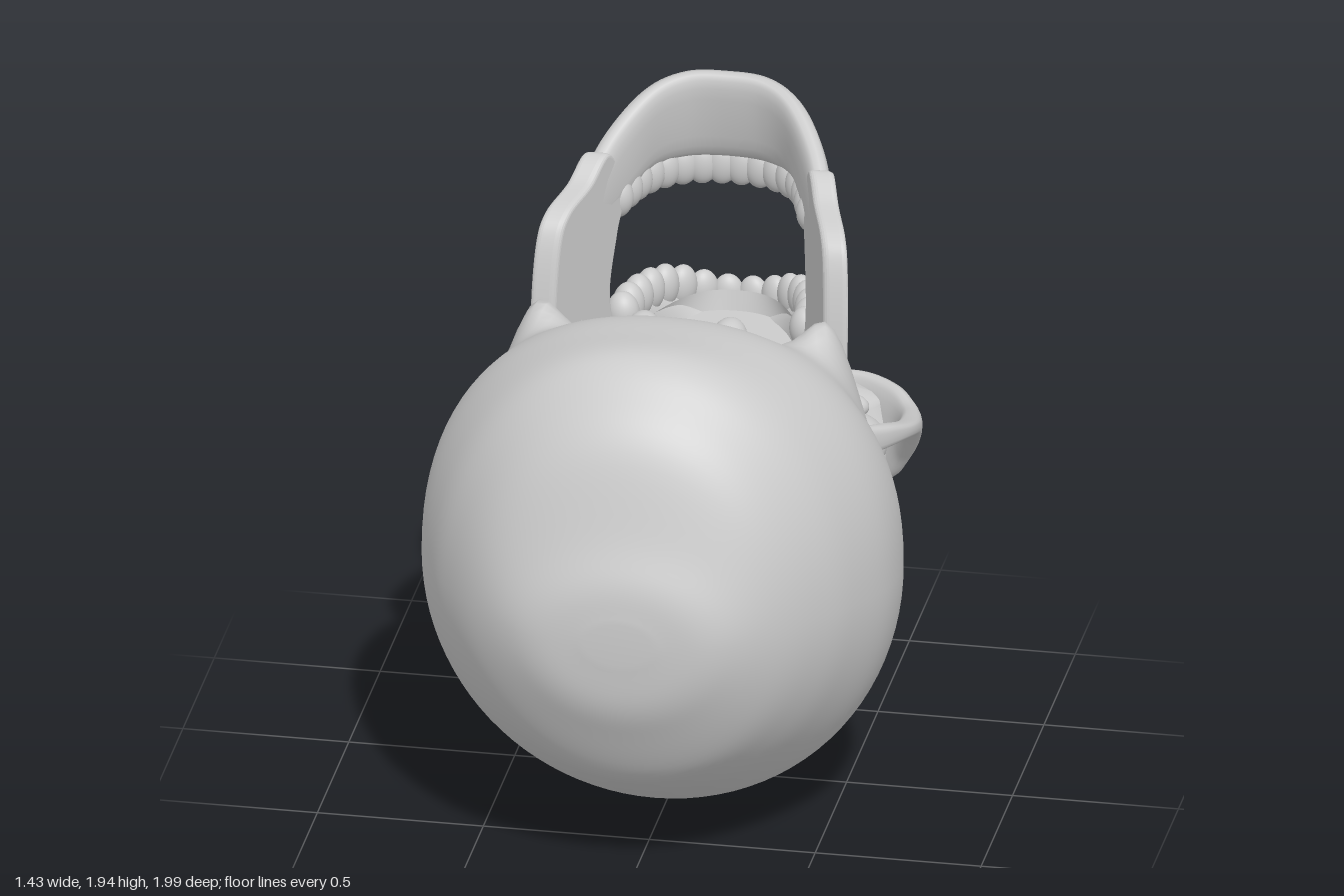
import * as THREE from 'three';

const V = (x, y, z) => new THREE.Vector3(x, y, z);
const bone = new THREE.MeshStandardMaterial({ color: 0xcccccc, side: THREE.DoubleSide });
const curve = pts => new THREE.CatmullRomCurve3(pts.map(p => V(...p)), false, 'catmullrom', 0.5);

function add(parent, name, geometry) {
  const mesh = new THREE.Mesh(geometry, bone);
  mesh.name = name;
  parent.add(mesh);
  return mesh;
}

function build(points, index) {
  const g = new THREE.BufferGeometry().setFromPoints(points);
  g.setIndex(index);
  g.computeVertexNormals();
  return g;
}

// Closed skin over a list of rings, wound outward
function loft(rings) {
  const n = rings[0].length, pts = rings.flat(), idx = [];
  const centre = r => r.reduce((a, p) => a.add(p), V(0, 0, 0)).divideScalar(n);
  for (let i = 0; i < rings.length - 1; i++)
    for (let j = 0; j < n; j++) {
      const a = i * n + j, b = i * n + (j + 1) % n;
      idx.push(a, b, a + n, b, b + n, a + n);
    }
  const last = (rings.length - 1) * n, c = pts.length;
  pts.push(centre(rings[0]), centre(rings[rings.length - 1]));
  for (let j = 0; j < n; j++) {
    const k = (j + 1) % n;
    idx.push(c, k, j, c + 1, last + j, last + k);
  }
  let volume = 0;
  for (let i = 0; i < idx.length; i += 3)
    volume += pts[idx[i]].dot(V(0, 0, 0).crossVectors(pts[idx[i + 1]], pts[idx[i + 2]]));
  return build(pts, volume < 0 ? idx.reverse() : idx);
}

// Rounded band between two edge curves, half as thick at its ends
function band(edgeA, edgeB, thick, steps = 60) {
  const A = curve(edgeA), B = curve(edgeB), rings = [];
  for (let i = 0; i <= steps; i++) {
    const t = i / steps, a = A.getPoint(t), b = B.getPoint(t);
    const d = A.getTangent(t).add(B.getTangent(t));
    const normal = V(d.z, 0, -d.x).normalize();
    const half = thick * (0.5 + 0.5 * Math.sqrt(Math.abs(Math.sin(Math.PI * t))));
    rings.push(Array.from({ length: 20 }, (_, j) => {
      const q = j / 20 * Math.PI * 2, c = Math.cos(q), s = Math.sin(q);
      const k = 0.5 + 0.5 * Math.sign(c) * Math.pow(Math.abs(c), 0.7);
      return a.clone().lerp(b, k).addScaledVector(normal, half * Math.sign(s) * Math.pow(Math.abs(s), 0.7));
    }));
  }
  return loft(rings);
}

// Left half of a path, continued through its last point to the right
const bothSides = half => [...half, ...half.slice(0, -1).reverse().map(([x, y, z]) => [-x, y, z])];

function blob(parent, name, pos, size, tilt = 0) {
  const m = add(parent, name, new THREE.SphereGeometry(1, 28, 20));
  m.position.set(...pos);
  m.scale.set(...size);
  m.rotation.x = tilt;
  return m;
}

// Braincase: z, lowest y, highest y, half width, y of the widest point
function cranium() {
  const rows = [
    [0.998, 0.8, 0.93, 0.1, 0.86], [0.98, 0.65, 1.04, 0.25, 0.86], [0.93, 0.53, 1.17, 0.36, 0.87],
    [0.84, 0.37, 1.42, 0.47, 0.88], [0.73, 0.28, 1.55, 0.56, 0.88], [0.6, 0.2, 1.63, 0.635, 0.87],
    [0.4, 0.09, 1.61, 0.705, 0.84], [0.2, 0.02, 1.57, 0.71, 0.82], [0.05, 0, 1.48, 0.66, 0.78],
    [-0.1, 0.02, 1.38, 0.61, 0.72], [-0.2, 0.07, 1.25, 0.56, 0.64], [-0.3, 0.14, 1.1, 0.5, 0.54],
    [-0.36, 0.2, 0.62, 0.47, 0.45], [-0.42, 0.26, 0.5, 0.43, 0.42], [-0.47, 0.32, 0.47, 0.34, 0.41],
    [-0.51, 0.39, 0.44, 0.12, 0.42]];
  const A = curve(rows.map(r => [r[0], r[1], r[2]])), B = curve(rows.map(r => [r[3], r[4], 0]));
  const rings = [];
  for (let i = 0; i <= 90; i++) {
    const a = A.getPoint(i / 90), b = B.getPoint(i / 90);
    const square = 2 / (2 + 0.3 * Math.exp(-(((a.x - 0.25) / 0.3) ** 2)));
    rings.push(Array.from({ length: 96 }, (_, j) => {
      const q = j / 96 * Math.PI * 2, c = Math.cos(q), s = Math.sin(q), e = s > 0 ? square : 1;
      const x = b.x * Math.sign(c) * Math.pow(Math.abs(c), e);
      let y = b.y + (s > 0 ? a.z - b.y : b.y - a.y) * Math.sign(s) * Math.pow(Math.abs(s), e);
      // Mastoid swelling behind each jaw joint
      if (s > 0) y += 0.32 * s * Math.exp(-(((Math.abs(x) - 0.46) / 0.11) ** 2) - ((a.x + 0.05) / 0.12) ** 2);
      return V(x, y, a.x);
    }));
  }
  return loft(rings);
}

// Face: y, half width, z at the middle, z at the side, fall-off power
function face() {
  const rows = [
    [0.34, 0.36, -0.44, -0.37, 2], [0.42, 0.46, -0.525, -0.41, 2], [0.5, 0.49, -0.585, -0.43, 1.7],
    [0.58, 0.5, -0.69, -0.44, 1.3], [0.7, 0.51, -0.72, -0.46, 1.2], [0.8, 0.54, -0.74, -0.51, 1.3],
    [0.9, 0.55, -0.82, -0.55, 1.4], [1.0, 0.5, -0.87, -0.58, 1.7], [1.06, 0.36, -0.9, -0.52, 2.2],
    [1.14, 0.29, -0.92, -0.48, 2.6]];
  const at = y => {
    let i = 0;
    while (i < rows.length - 2 && y > rows[i + 1][0]) i++;
    const t = (y - rows[i][0]) / (rows[i + 1][0] - rows[i][0]);
    return rows[i].map((v, k) => v + (rows[i + 1][k] - v) * t);
  };
  const M = 130, N = 100, S = 6, pts = [], idx = [];
  for (let i = 0; i <= N; i++) {
    const y = 0.34 + 0.8 * i / N, [, w, zf, zs, p] = at(y);
    for (let j = -S; j <= M + S; j++) {
      const skirt = Math.max(0, -j, j - M);
      const u = THREE.MathUtils.clamp(j / M * 2 - 1, -1, 1), x = u * w;
      let z = zs + (zf - zs) * (1 - Math.pow(Math.abs(u), p));
      // Eye sockets and nasal opening are pressed into the surface
      const eye = Math.hypot((Math.abs(x) - 0.285) / 0.185, (y - 0.6) / 0.165);
      const nose = Math.hypot(x / (0.07 + 0.2 * (y - 0.58)), (y - 0.735) / 0.15);
      if (eye < 1) z = Math.min(z + 0.24 * (1 - eye ** 4), Math.max(z, -0.36));
      if (nose < 1) z += 0.27 * (1 - nose ** 5);
      // Side walls fold back and inward behind the cheeks
      pts.push(V(x * (1 - 0.045 * Math.max(0, skirt - 1)), y, z + 0.036 * skirt));
    }
  }
  const n = M + 2 * S + 1;
  for (let i = 0; i < N; i++)
    for (let j = 0; j < n - 1; j++) {
      const a = i * n + j;
      idx.push(a, a + n, a + 1, a + 1, a + n, a + n + 1);
    }
  return build(pts, idx);
}

// Row of teeth spaced along an arch; molars are wider than incisors
function teeth(parent, name, half, count, height) {
  const path = curve(bothSides(half)), row = new THREE.Group();
  row.name = name;
  for (let i = 0; i < count; i++) {
    const t = (i + 0.5) / count, p = path.getPointAt(t), d = path.getTangentAt(t);
    const molar = Math.abs(t - 0.5) * 2;
    const m = blob(row, 'tooth', [p.x, p.y, p.z], [0.048, height, 0.032 + 0.02 * molar]);
    m.rotation.y = Math.atan2(-d.z, d.x);
  }
  parent.add(row);
}

// Upright plate of the lower jaw with its notch
function ramus(s) {
  const outline = [[0.13, 1.4], [0.17, 1.6], [0.23, 1.68], [0.35, 1.72], [0.46, 1.775], [0.54, 1.63], [0.49, 1.5],
    [0.44, 1.32], [0.48, 1.13], [0.45, 1.08], [0.38, 1.18], [0.31, 1.225], [0.24, 1.21], [0.19, 1.15], [0.12, 1.15]];
  const shape = new THREE.Shape();
  shape.moveTo(0.12, 1.15);
  shape.splineThru(outline.map(p => new THREE.Vector2(...p)));
  const g = new THREE.ExtrudeGeometry(shape, {
    depth: 0.04, bevelThickness: 0.018, bevelSize: 0.012, bevelOffset: -0.012, bevelSegments: 4, curveSegments: 70 });
  g.rotateY(Math.PI / 2);
  const p = g.attributes.position;
  for (let i = 0; i < p.count; i++)
    p.setX(i, p.getX(i) - 0.02 + s * (0.45 - 0.36 * (-p.getZ(i) - 0.12) + 0.03 * (p.getY(i) - 1.5)));
  g.computeVertexNormals();
  return g;
}

export function createModel() {
  const root = new THREE.Group(), skull = new THREE.Group(), jaw = new THREE.Group();
  root.name = 'skull';
  skull.name = 'upperSkull';
  jaw.name = 'lowerJaw';
  root.add(skull, jaw);

  add(skull, 'cranium', cranium());
  add(skull, 'face', face());
  blob(skull, 'skullBase', [0, 1.12, -0.25], [0.17, 0.1, 0.2], 0.5);
  add(skull, 'nasalSeptum', new THREE.BoxGeometry(0.02, 0.34, 0.3)).position.set(0, 0.9, -0.5);

  // Upper dental arch and palate
  const upper = [[0.28, 1.2, -0.5], [0.28, 1.2, -0.6], [0.25, 1.18, -0.74], [0.19, 1.14, -0.85], [0.1, 1.08, -0.91], [0, 1.06, -0.93]];
  add(skull, 'upperGum', band(bothSides(upper), bothSides(upper.map(([x, , z]) => [x * 0.92, 0.92, z * 0.92])), 0.045));
  teeth(skull, 'upperTeeth', [[0.275, 1.22, -0.5], [0.275, 1.215, -0.6], [0.245, 1.2, -0.74], [0.19, 1.17, -0.86],
    [0.105, 1.12, -0.94], [0, 1.1, -0.965]], 16, 0.068);
  const plate = new THREE.Shape();
  plate.moveTo(-0.26, 0.45);
  plate.lineTo(-0.24, 0.74);
  plate.quadraticCurveTo(-0.16, 0.9, 0, 0.91);
  plate.quadraticCurveTo(0.16, 0.9, 0.24, 0.74);
  plate.lineTo(0.26, 0.45);
  const palate = add(skull, 'palate', new THREE.ExtrudeGeometry(plate, { depth: 0.03, bevelEnabled: false }));
  palate.rotation.x = -Math.PI / 2;
  palate.position.y = 1.05;

  for (const s of [1, -1]) {
    const side = pts => pts.map(([x, y, z]) => [s * x, y, z]);
    // Cheekbone running back into the cheek arch
    add(skull, 'cheekArch', band(
      side([[0.26, 0.86, -0.62], [0.42, 0.83, -0.6], [0.53, 0.77, -0.495], [0.595, 0.87, -0.43], [0.635, 1.0, -0.31], [0.64, 1.06, -0.18], [0.61, 1.08, -0.07], [0.55, 1.08, 0.03]]),
      side([[0.26, 1.03, -0.64], [0.42, 1.05, -0.625], [0.54, 1.05, -0.55], [0.605, 1.04, -0.45], [0.635, 1.07, -0.31], [0.64, 1.11, -0.18], [0.61, 1.15, -0.07], [0.55, 1.18, 0.03]]), 0.034, 60));
    blob(skull, 'occipitalCondyle', [s * 0.13, 1.37, -0.06], [0.06, 0.06, 0.1], 0.4);
    blob(skull, 'jawSocket', [s * 0.49, 1.08, -0.06], [0.12, 0.09, 0.13]);
    const styloid = add(skull, 'styloid', new THREE.ConeGeometry(0.025, 0.2, 12));
    styloid.position.set(s * 0.34, 1.25, -0.19);
    styloid.rotation.x = -0.3;
    blob(skull, 'pterygoidPlate', [s * 0.18, 1.04, -0.42], [0.025, 0.18, 0.1]);
    blob(skull, 'pterygoidWing', [s * 0.24, 1.02, -0.38], [0.02, 0.16, 0.09]);

    add(jaw, 'ramus', ramus(s));
    blob(jaw, 'jawCondyle', [s * 0.455, 1.16, -0.15], [0.085, 0.045, 0.045]);
  }

  // Lower jaw body and teeth
  add(jaw, 'jawBody', band(
    bothSides([[0.38, 1.52, -0.31], [0.335, 1.54, -0.44], [0.285, 1.59, -0.57], [0.225, 1.63, -0.7], [0.13, 1.64, -0.775], [0, 1.64, -0.8]]),
    bothSides([[0.408, 1.64, -0.25], [0.368, 1.7, -0.36], [0.31, 1.81, -0.52], [0.22, 1.9, -0.65], [0.12, 1.935, -0.72], [0, 1.94, -0.735]]), 0.043, 80));
  teeth(jaw, 'lowerTeeth', [[0.305, 1.59, -0.52], [0.28, 1.6, -0.59], [0.23, 1.605, -0.7], [0.135, 1.605, -0.785], [0, 1.605, -0.81]], 16, 0.065);
  return root;
}
